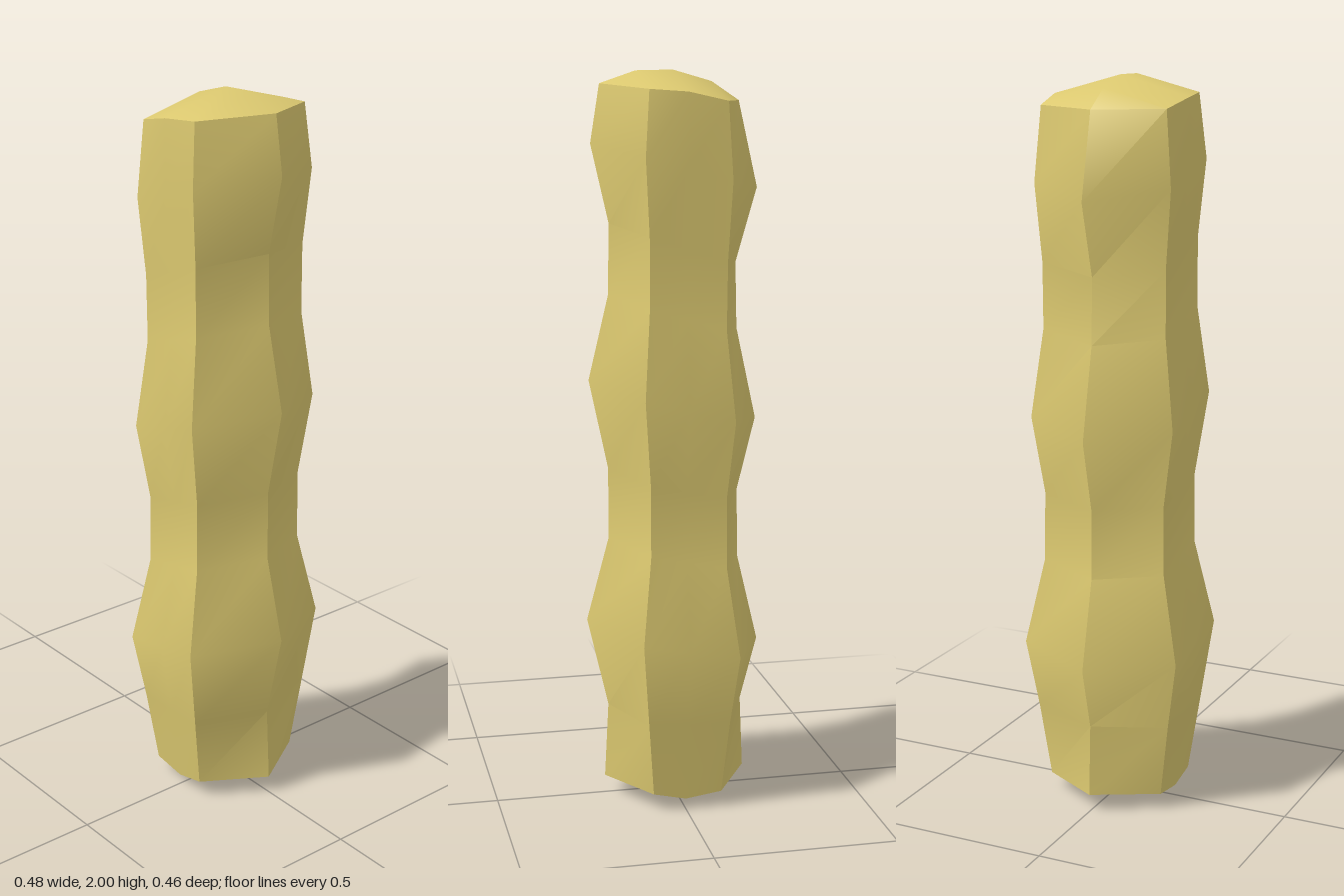
import * as THREE from 'three';
import { toCreasedNormals } from 'three/addons/utils/BufferGeometryUtils.js';

// Wavy six-sided column cross-sections, each slightly tilted:
// [left x, left y, right x, right y, left corner x, right corner x, corner z, middle z, middle y offset]
const rings = [
  [-0.203, 0.05, 0.195, 0.05, -0.10, 0.09, 0.17, 0.17, -0.02],
  [-0.195, 0.25, 0.184, 0.26, -0.117, 0.108, 0.198, 0.198, 0],
  [-0.242, 0.425, 0.242, 0.51, -0.137, 0.128, 0.229, 0.229, 0],
  [-0.184, 0.67, 0.180, 0.74, -0.110, 0.098, 0.18, 0.18, 0],
  [-0.182, 0.86, 0.180, 0.935, -0.109, 0.098, 0.178, 0.178, 0],
  [-0.232, 1.06, 0.232, 1.18, -0.125, 0.118, 0.21, 0.21, 0],
  [-0.178, 1.31, 0.177, 1.41, -0.106, 0.10, 0.18, 0.18, 0],
  [-0.174, 1.49, 0.174, 1.60, -0.108, 0.10, 0.18, 0.18, 0],
  [-0.232, 1.69, 0.222, 1.81, -0.117, 0.113, 0.197, 0.197, 0],
  [-0.18, 1.92, 0.197, 1.965, -0.108, 0.10, 0.18, 0.195, 0.005],
];

// Eight points around a section: left, front three, right, back three
function ringPoints([xl, yl, xr, yr, cl, cr, zc, zm, sag]) {
  const point = (x, z, dy = 0) => [x, yl + (yr - yl) * (x - xl) / (xr - xl) + dy, z];
  return [
    point(xl, 0), point(cl, zc, sag ? -0.006 : 0), point(0, zm, sag), point(cr, zc),
    point(xr, 0), point(cr, -zc), point(0, -zm, sag), point(cl, -zc, sag ? -0.006 : 0),
  ];
}

export function createModel() {
  const group = new THREE.Group();
  group.name = 'column';
  const straw = new THREE.MeshStandardMaterial({ color: 0xdcc970 });
  straw.name = 'straw yellow';

  const pos = [];
  const tri = (a, b, c) => pos.push(...a, ...b, ...c);
  const quad = (a, b, c, d) => { tri(a, b, c); tri(a, c, d); };

  // Sides
  const loops = rings.map(ringPoints);
  for (let i = 0; i < loops.length - 1; i++) {
    for (let j = 0; j < 8; j++) {
      const k = (j + 1) % 8;
      quad(loops[i][j], loops[i][k], loops[i + 1][k], loops[i + 1][j]);
    }
  }

  // Ends: faces rising from the rim to a three-point ridge along x
  function cap(p, ridge, up) {
    const t = up ? tri : (a, b, c) => tri(a, c, b);
    const q = (a, b, c, d) => { t(a, b, c); t(a, c, d); };
    const [l, m, r] = ridge;
    t(p[0], p[1], l);
    q(l, p[1], p[2], m);
    q(m, p[2], p[3], r);
    t(r, p[3], p[4]);
    t(p[4], p[5], r);
    q(r, p[5], p[6], m);
    q(m, p[6], p[7], l);
    t(l, p[7], p[0]);
  }
  cap(loops[loops.length - 1], [[-0.105, 1.97, 0], [0, 2, 0], [0.1, 1.998, 0]], true);
  cap(loops[0], [[-0.1, 0.025, 0], [0, 0, 0], [0.1, 0.025, 0]], false);

  // Smooth along the length, sharp between the six faces
  const geometry = new THREE.BufferGeometry();
  geometry.setAttribute('position', new THREE.Float32BufferAttribute(pos, 3));
  const mesh = new THREE.Mesh(toCreasedNormals(geometry, 0.75), straw);
  mesh.name = 'wavyColumn';
  group.add(mesh);
  return group;
}
